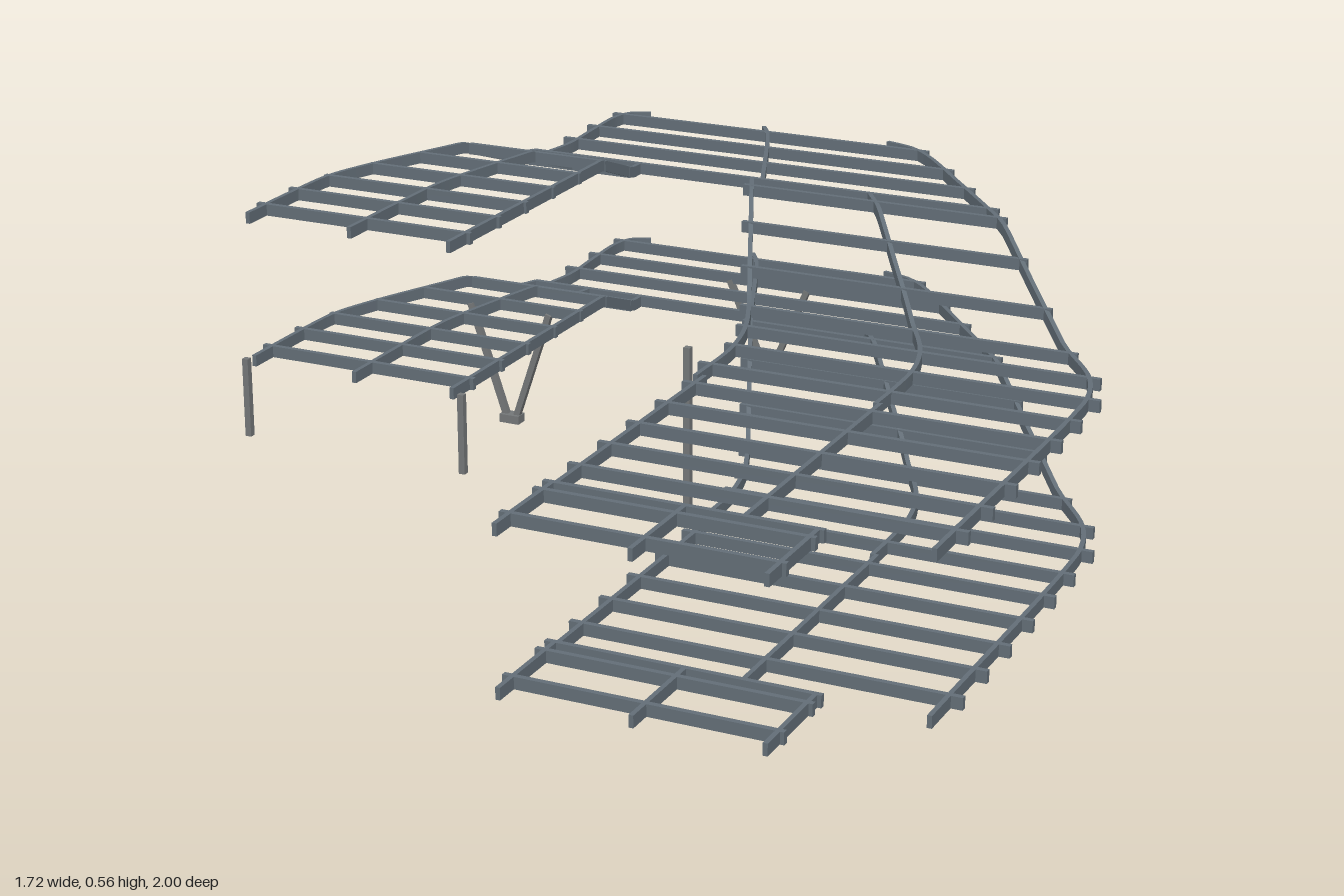
import * as THREE from 'three';

const STEEL = new THREE.MeshStandardMaterial({ color: 0x626d76 });
STEEL.name = 'slate steel';
const SUPPORT = new THREE.MeshStandardMaterial({ color: 0x737677 });
SUPPORT.name = 'grey support steel';

const H = 0.023;   // beam depth
const W = 0.009;   // beam width
const LEVEL = 0.295; // storey height

// linear height change with softened corners
function ramp(z, z0, y0, z1, y1) {
  const t = THREE.MathUtils.clamp((z - z0) / (z1 - z0), 0, 1);
  const e = 0.14;
  const s = t < e ? t * t / (2 * e) : t > 1 - e ? 1 - e - (1 - t) * (1 - t) / (2 * e) : t - e / 2;
  return y0 + (y1 - y0) * s / (1 - e);
}
const rightHeight = z => ramp(z, -0.56, 0.205, -0.215, 0.068);
const leftHeight = z => ramp(z, -0.585, 0.205, -0.425, 0.256);
const backHeight = () => 0.205;

// rectangular beam swept along a plan curve, following a height rule
function rail(name, plan, height) {
  const curve = new THREE.CatmullRomCurve3(plan.map(([x, z]) => new THREE.Vector3(x, 0, z)), false, 'centripetal');
  const n = plan.length > 2 || height !== backHeight ? 64 : 1;
  const rings = [];
  for (let i = 0; i <= n; i++) {
    const p = curve.getPointAt(i / n), t = curve.getTangentAt(i / n);
    const sx = -t.z * W / 2, sz = t.x * W / 2, y = height(p.z);
    rings.push([[1, 1], [-1, 1], [-1, -1], [1, -1]].map(([a, b]) => [p.x + a * sx, y + b * H / 2, p.z + a * sz]));
  }
  const pos = [];
  const quad = (a, b, c, d) => pos.push(...a, ...b, ...c, ...a, ...c, ...d);
  for (let i = 0; i < n; i++) for (let k = 0; k < 4; k++) {
    const m = (k + 1) % 4;
    quad(rings[i][k], rings[i + 1][k], rings[i + 1][m], rings[i][m]);
  }
  quad(...rings[0]);
  quad(...[...rings[n]].reverse());
  const g = new THREE.BufferGeometry();
  g.setAttribute('position', new THREE.Float32BufferAttribute(pos, 3));
  g.computeVertexNormals();
  const mesh = new THREE.Mesh(g, STEEL);
  mesh.name = name;
  return mesh;
}

function crossBeam(x0, x1, z, height) {
  const mesh = new THREE.Mesh(new THREE.BoxGeometry(x1 - x0, H, 0.011), STEEL);
  mesh.position.set((x0 + x1) / 2, height(z), z);
  mesh.name = 'crossBeam';
  return mesh;
}

// square bar between two points
function strut(name, a, b, size) {
  const from = new THREE.Vector3(...a), to = new THREE.Vector3(...b);
  const mesh = new THREE.Mesh(new THREE.BoxGeometry(size, from.distanceTo(to), size), SUPPORT);
  mesh.position.copy(from).add(to).multiplyScalar(0.5);
  mesh.quaternion.setFromUnitVectors(new THREE.Vector3(0, 1, 0), to.sub(from).normalize());
  mesh.name = name;
  return mesh;
}

// V-shaped prop on a small foot
function vSupport(x, z, top) {
  const g = new THREE.Group();
  g.name = 'vSupport';
  const foot = new THREE.Mesh(new THREE.BoxGeometry(0.045, 0.018, 0.028), SUPPORT);
  foot.position.set(x, 0.009, z);
  foot.name = 'foot';
  g.add(foot);
  for (const s of [-1, 1]) g.add(strut('arm', [x + s * 0.012, 0.014, z], [x + s * 0.092, top, z], 0.013));
  return g;
}

function deckFrame(upper) {
  const g = new THREE.Group();
  g.name = upper ? 'upperFrame' : 'lowerFrame';

  // back platform edge
  g.add(rail('backEdgeRail', [[-0.54, -0.998], [-0.578, -0.98], [-0.594, -0.935], [-0.592, -0.82], [-0.586, -0.69], [-0.597, -0.612]], backHeight));

  // inner rail across the back platform, set over slightly on the upper storey
  const shift = upper ? 0.024 : 0;
  g.add(rail('backInnerRail', [[-0.287 + shift, -0.998], [-0.258 + shift, -0.95], [-0.118 + shift, -0.61]], backHeight));

  // right wing: curved part
  g.add(rail('innerRail', [[-0.118, -0.61], [0.008, -0.32], [0.06, -0.2], [0.105, -0.08], [0.129, 0.04], [0.132, 0.2]], rightHeight));
  g.add(rail('middleRail', [[0.147, -0.608], [0.272, -0.42], [0.392, -0.235], [0.457, -0.105], [0.484, 0], [0.49, 0.1], [0.49, 0.2]], rightHeight));
  g.add(rail('outerRail', [[0.03, -0.998], [0.09, -0.978], [0.144, -0.934], [0.282, -0.765], [0.56, -0.412], [0.735, -0.19], [0.795, -0.095], [0.824, 0], [0.831, 0.1], [0.831, 0.79]], rightHeight));
  // right wing: straight extensions
  for (const [x, z0, z1] of [[0.149, 0.195, 0.79], [0.498, 0.195, 0.79], [0.143, 0.79, 0.998], [0.39, 0.79, 0.998], [0.63, 0.79, 0.998]])
    g.add(rail('extensionRail', [[x, z0], [x, z1]], rightHeight));

  // left wing rails
  g.add(rail('leftOuterRail', [[-0.632, -0.612], [-0.72, -0.396], [-0.8, -0.2], [-0.829, -0.1], [-0.834, 0], [-0.834, 0.198]], leftHeight));
  g.add(rail('leftMiddleRail', [[-0.503, -0.608], [-0.575, -0.286], [-0.599, -0.15], [-0.604, 0], [-0.605, 0.198]], leftHeight));
  g.add(rail('leftInnerRail', [[-0.379, -0.608], [-0.387, 0.198]], leftHeight));

  // cross beams: [z, x from, x to]
  for (const [z, a, b] of [[-0.959, -0.613, 0.14], [-0.843, -0.618, 0.241], [-0.73, -0.618, 0.33], [-0.613, -0.633, 0.425]])
    g.add(crossBeam(a, b, z, backHeight));
  for (const [z, left, a, b] of [[-0.561, -0.643, -0.114, 0.461], [-0.446, -0.695, -0.065, 0.547], [-0.329, -0.75, -0.014, 0.64],
    [-0.215, -0.8, 0.036, 0.732], [-0.099, -0.838, 0.08, 0.816], [0.012, -0.853, 0.106, 0.852], [0.13, -0.853, 0.106, 0.856]]) {
    g.add(crossBeam(left, -0.374, z, leftHeight));
    g.add(crossBeam(a, b, z, rightHeight));
  }
  for (const z of [0.239, 0.354, 0.471, 0.584, 0.699]) g.add(crossBeam(0.125, 0.857, z, rightHeight));
  for (const z of [0.791, 0.827, 0.944]) g.add(crossBeam(0.125, 0.642, z, rightHeight));

  g.position.y = upper ? LEVEL : 0;
  return g;
}

export function createModel() {
  const model = new THREE.Group();
  model.name = 'steelDeckFrame';
  model.add(deckFrame(false), deckFrame(true));

  // V props under the left wing and the back platform
  model.add(vSupport(-0.54, -0.324, 0.25), vSupport(-0.18, -0.843, 0.2));

  // front posts
  for (const [x, y0, y1] of [[-0.853, 0.095, 0.258], [-0.366, 0.095, 0.258], [0.115, 0.095, 0.425]])
    model.add(strut('post', [x, y0, 0.197], [x, y1, 0.197], 0.013));
  return model;
}
